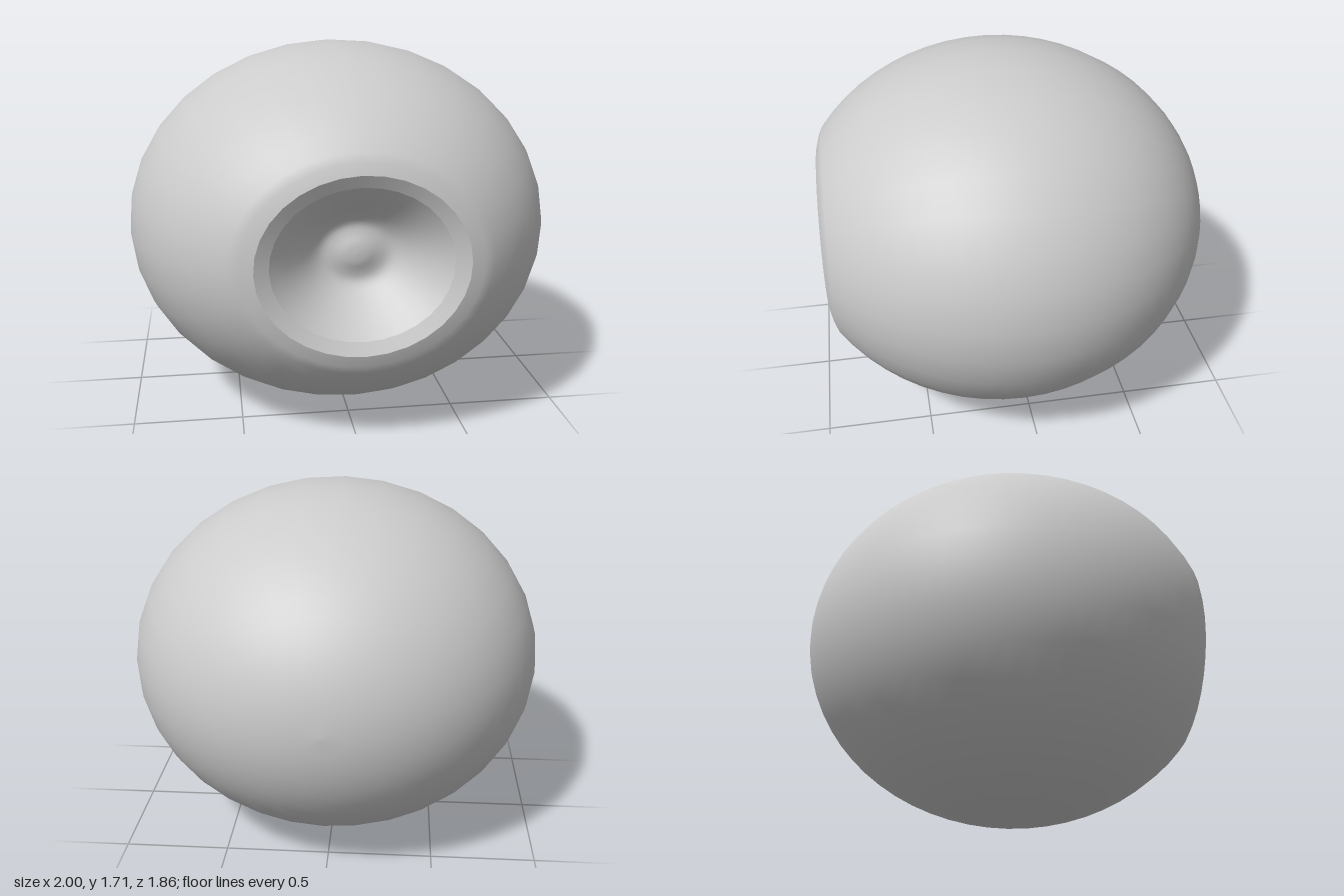
import * as THREE from 'three';

const SEGMENTS = 32;
const HEIGHT = 0.855; // vertical squash, also the height of the centre
const CENTER_Z = 0.07;

// Surface turned around the front-to-back axis; profile points are [radius, z], back to front.
function turned(name, profile, material) {
  const geometry = new THREE.LatheGeometry(profile.map(([r, z]) => new THREE.Vector2(r, z)), SEGMENTS);
  geometry.rotateX(Math.PI / 2).rotateZ(0.03);
  geometry.scale(1, HEIGHT, 1);
  const mesh = new THREE.Mesh(geometry, material);
  mesh.name = name;
  mesh.position.y = HEIGHT;
  return mesh;
}

export function createModel() {
  const model = new THREE.Group();
  model.name = 'dimpledBall';
  const material = new THREE.MeshStandardMaterial({ color: 0xcccccc });

  // Round shell, from the back pole to the rounded lip at the front
  const shell = [];
  const rings = 26;
  const lipAngle = Math.PI - Math.asin(0.56);
  for (let i = 0; i <= rings; i++) {
    const a = (lipAngle * i) / rings;
    shell.push([Math.sin(a), CENTER_Z - Math.cos(a)]);
  }
  shell.push([0.515, 0.917], [0.455, 0.932]);
  model.add(turned('shell', shell, material));

  // Narrow sloping rim around the opening
  model.add(turned('rim', [[0.455, 0.932], [0.39, 0.905]], material));

  // Hollow dish with a soft bump in the middle
  const dishCurve = new THREE.SplineCurve([
    [0.39, 0.905], [0.33, 0.855], [0.26, 0.79], [0.2, 0.735],
    [0.15, 0.708], [0.1, 0.712], [0.05, 0.726], [0, 0.73],
  ].map(([r, z]) => new THREE.Vector2(r, z)));
  const dish = dishCurve.getPoints(20).map((p) => [Math.max(p.x, 0), p.y]);
  model.add(turned('dish', dish, material));

  return model;
}
